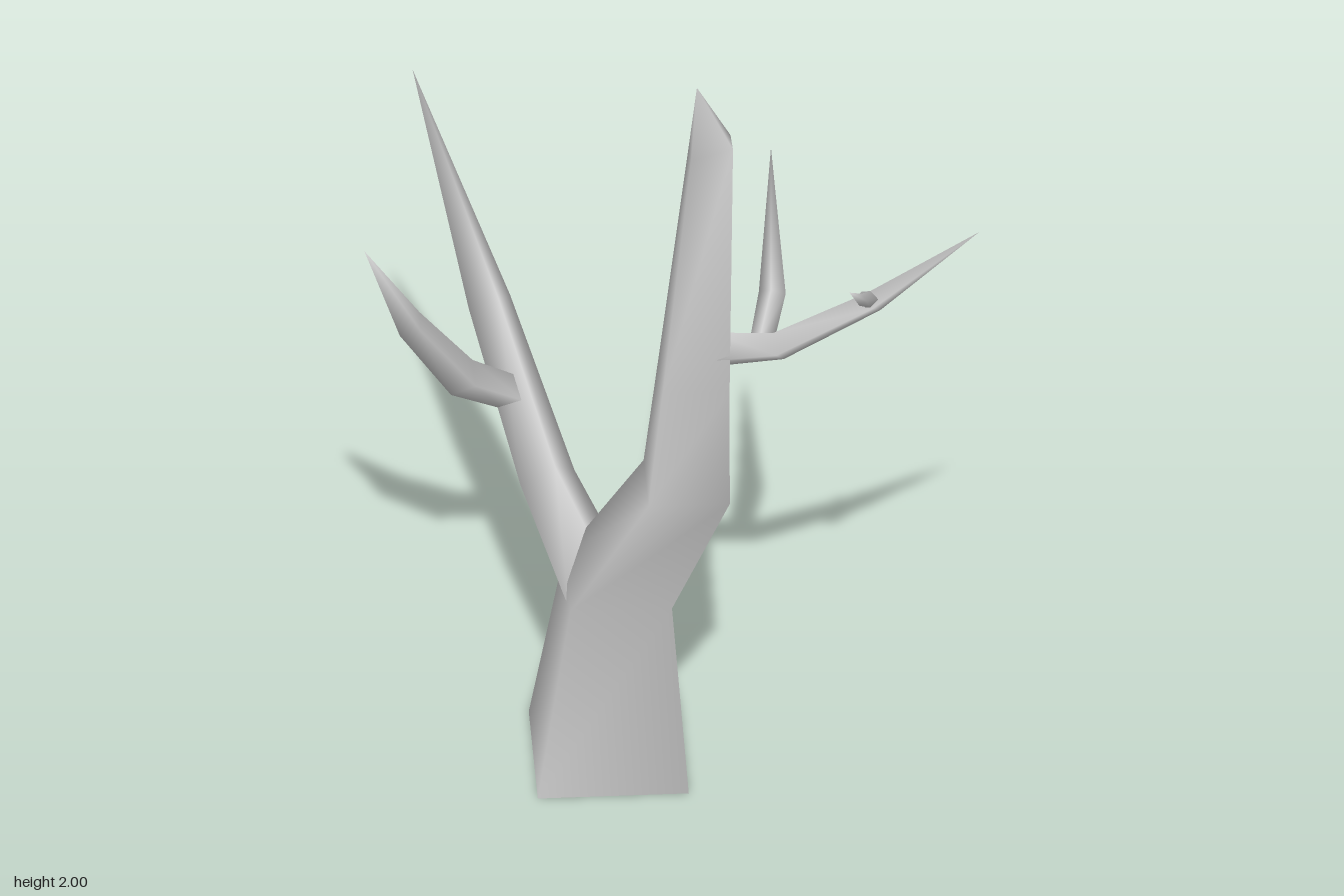
import * as THREE from 'three';

const SIDES = 4;

// Four-sided tapering limb through rings [x, y, z, radius], closed to a point at the last one.
// level: rings stay horizontal with corners on the x and z axes; an optional fifth value tilts a ring.
function limb(name, rings, material, level = false) {
  const points = rings.map(([x, y, z]) => new THREE.Vector3(x, y, z));
  const last = rings.length - 1;
  const positions = [];
  const index = [];
  const up = new THREE.Vector3(0, 1, 0);

  for (let k = 0; k < last; k++) {
    const tangent = up.clone();
    if (!level) {
      tangent.subVectors(points[k + 1], points[k]).normalize();
      if (k > 0) tangent.add(points[k].clone().sub(points[k - 1]).normalize()).normalize();
    }
    const u = level
      ? new THREE.Vector3(1, rings[k][4] ?? 0, 0)
      : up.clone().addScaledVector(tangent, -tangent.y).normalize();
    const v = level ? new THREE.Vector3(0, 0, -1) : tangent.clone().cross(u);
    for (let i = 0; i < SIDES; i++) {
      const a = (i / SIDES) * Math.PI * 2;
      const p = points[k].clone()
        .addScaledVector(u, Math.cos(a) * rings[k][3])
        .addScaledVector(v, Math.sin(a) * rings[k][3]);
      positions.push(p.x, p.y, p.z);
    }
  }
  positions.push(...points[last].toArray());

  const tip = last * SIDES;
  for (let k = 0; k < last; k++) {
    for (let i = 0; i < SIDES; i++) {
      const a = k * SIDES + i;
      const b = k * SIDES + ((i + 1) % SIDES);
      if (k === last - 1) index.push(a, b, tip);
      else index.push(a, b, b + SIDES, a, b + SIDES, a + SIDES);
    }
  }

  const geometry = new THREE.BufferGeometry();
  geometry.setAttribute('position', new THREE.Float32BufferAttribute(positions, 3));
  geometry.setIndex(index);
  geometry.computeVertexNormals();
  const mesh = new THREE.Mesh(geometry, material);
  mesh.name = name;
  return mesh;
}

export function createModel() {
  const group = new THREE.Group();
  group.name = 'bareTree';
  const bark = new THREE.MeshStandardMaterial({ color: 0xcccccc, side: THREE.DoubleSide });

  // Trunk: flared open foot, bend to the left, slanted broken top
  group.add(limb('trunk', [
    [0.04, 0, 0.04, 0.26],
    [0.075, 0.53, 0.045, 0.175],
    [0.28, 0.91, 0.025, 0.14],
    [0.3, 1.24, 0.02, 0.115],
    [0.268, 1.845, -0.077, 0.072, 0.4],
    [0.22, 2, -0.08, 0],
  ], bark, true));

  // Large lower branch and its upright twig
  group.add(limb('lowerBranch', [
    [0.06, 0.49, 0.08, 0.095],
    [-0.235, 0.645, -0.045, 0.073],
    [-0.525, 0.97, -0.16, 0.058],
    [-0.855, 1.46, -0.25, 0],
  ], bark));
  group.add(limb('lowerBranchTwig', [
    [-0.38, 0.81, -0.08, 0.045],
    [-0.402, 0.93, 0.08, 0.05],
    [-0.412, 1.18, 0.26, 0.038],
    [-0.435, 1.46, 0.4, 0],
  ], bark));

  // Thin upper branch and its two twigs
  group.add(limb('upperBranch', [
    [0.34, 1.32, 0, 0.05],
    [0.475, 1.345, -0.09, 0.04],
    [0.655, 1.485, -0.235, 0.03],
    [0.855, 1.7, -0.4, 0],
  ], bark));
  group.add(limb('upperBranchInnerTwig', [
    [0.43, 1.34, -0.08, 0.03],
    [0.385, 1.42, -0.17, 0.033],
    [0.23, 1.69, -0.34, 0],
  ], bark));
  group.add(limb('upperBranchOuterTwig', [
    [0.63, 1.485, -0.225, 0.02],
    [0.69, 1.535, -0.185, 0.02],
    [0.725, 1.59, -0.11, 0.015],
    [0.76, 1.67, -0.03, 0],
  ], bark));

  return group;
}
